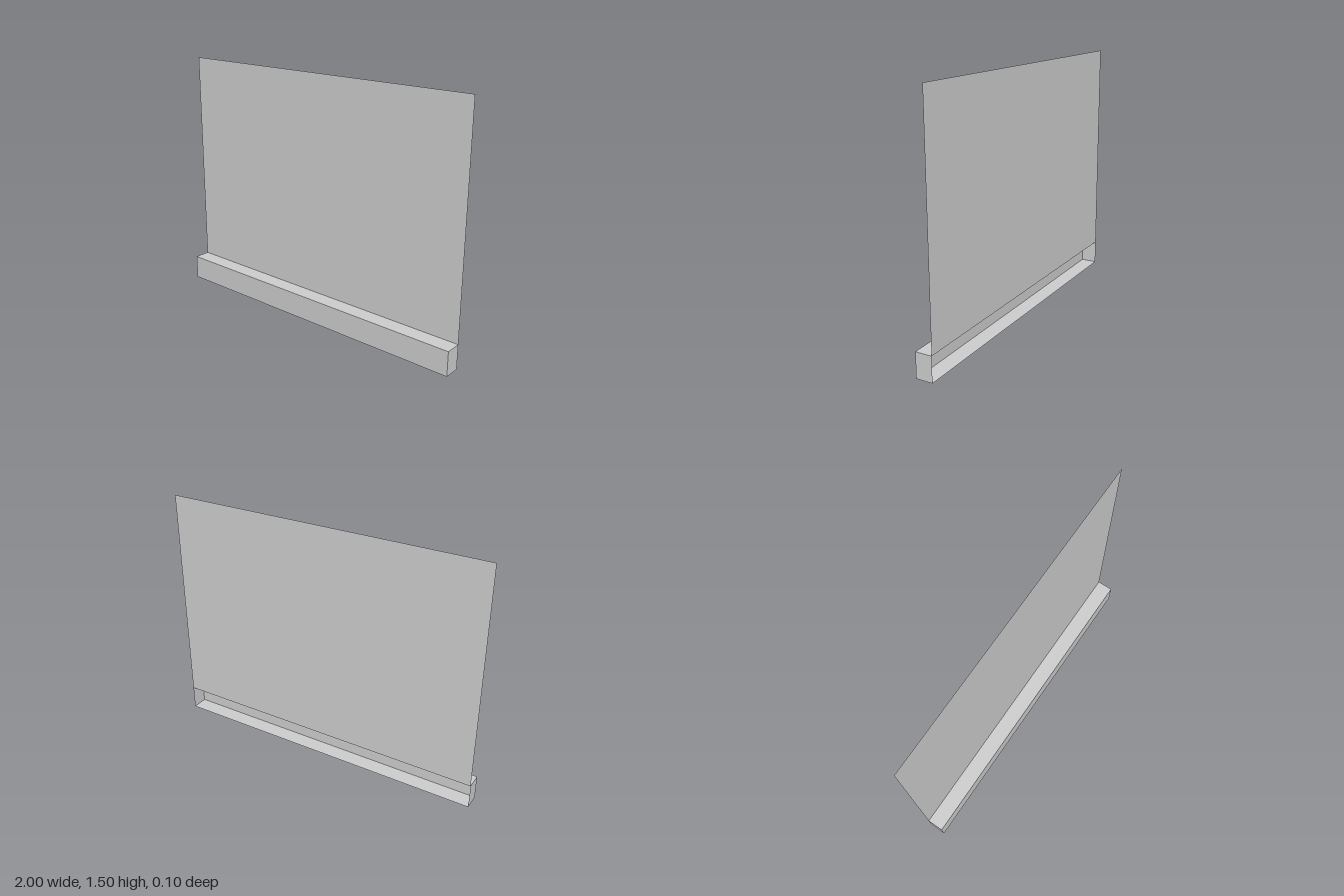
import * as THREE from 'three';

const WIDTH = 2, HEIGHT = 1.5, BASE_H = 0.15, DEPTH = 0.1;

export function createModel() {
  const model = new THREE.Group();
  const material = new THREE.MeshStandardMaterial({
    color: 0xcccccc, flatShading: true, side: THREE.DoubleSide,
  });

  // One thin rectangular sheet
  function sheet(name, w, h, position, rotation, parent) {
    const mesh = new THREE.Mesh(new THREE.PlaneGeometry(w, h), material);
    mesh.name = name;
    mesh.position.set(...position);
    mesh.rotation.set(...rotation);
    parent.add(mesh);
  }

  // Upright panel, flush with the back of the base
  const panelH = HEIGHT - BASE_H;
  sheet('panel', WIDTH, panelH, [0, BASE_H + panelH / 2, -DEPTH / 2], [0, 0, 0], model);

  // Hollow base, open at the back
  const base = new THREE.Group();
  base.name = 'base';
  model.add(base);
  const mid = BASE_H / 2, quarter = Math.PI / 2;
  sheet('baseFront', WIDTH, BASE_H, [0, mid, DEPTH / 2], [0, 0, 0], base);
  sheet('baseTop', WIDTH, DEPTH, [0, BASE_H, 0], [-quarter, 0, 0], base);
  sheet('baseBottom', WIDTH, DEPTH, [0, 0, 0], [quarter, 0, 0], base);
  for (const [name, side] of [['baseLeftEnd', 1], ['baseRightEnd', -1]]) {
    sheet(name, DEPTH, BASE_H, [side * WIDTH / 2, mid, 0], [0, side * quarter, 0], base);
  }

  return model;
}
